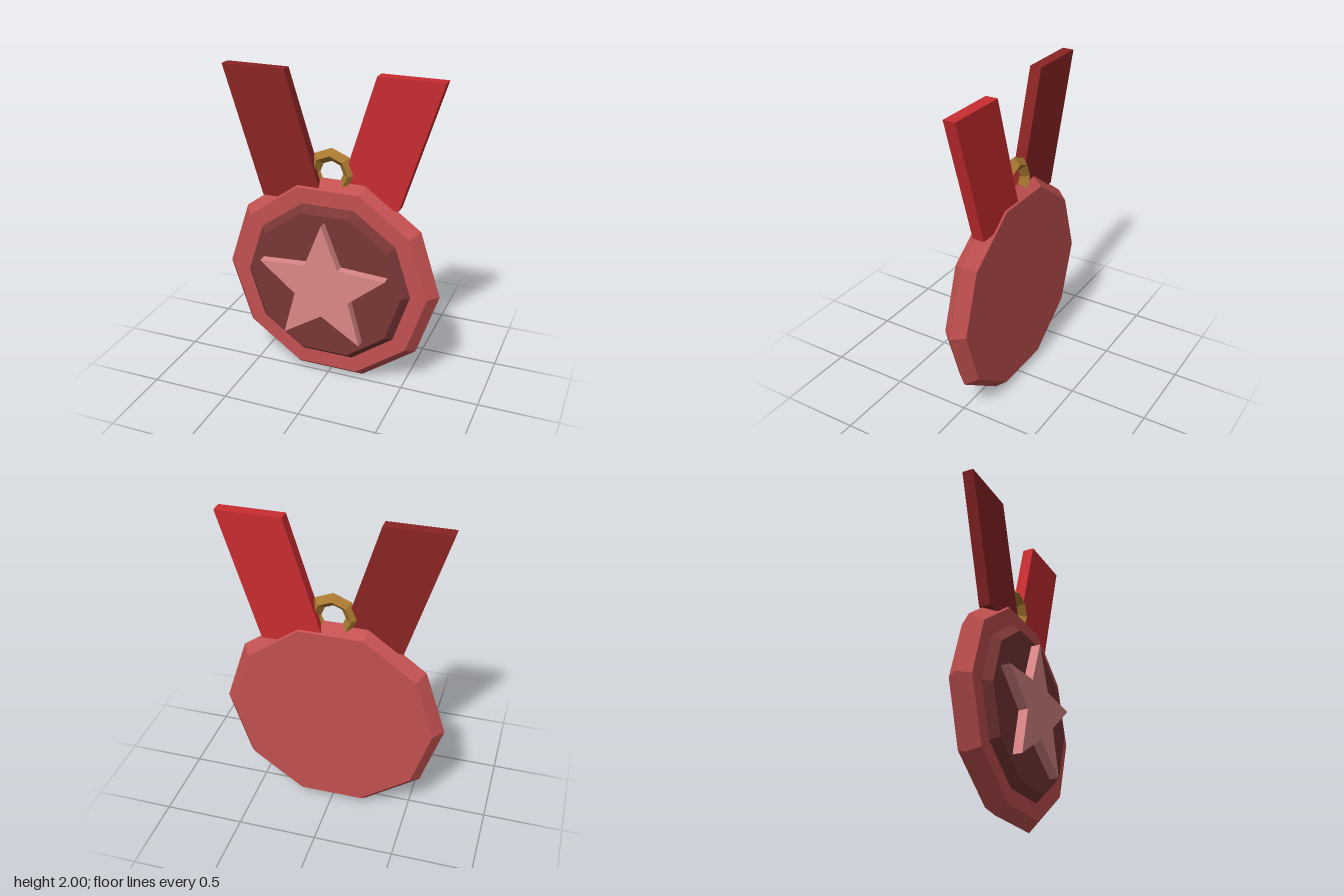
import * as THREE from 'three';

const CENTER_Y = 0.673;

function flat(name, color) {
  const m = new THREE.MeshStandardMaterial({ color, flatShading: true });
  m.name = name;
  return m;
}

function part(name, geometry, material) {
  const mesh = new THREE.Mesh(geometry, material);
  mesh.name = name;
  return mesh;
}

// Ten-sided disc facing +z, from [radius, z] pairs running back to front
function disc(profile) {
  const points = profile.map(([r, z]) => new THREE.Vector2(r, z));
  const g = new THREE.LatheGeometry(points, 10, Math.PI / 2);
  g.rotateX(Math.PI / 2);
  return g.translate(0, CENTER_Y, 0);
}

// Straight-sided plate between two z values
function plate(corners, back, front) {
  const shape = new THREE.Shape(corners.map(([x, y]) => new THREE.Vector2(x, y)));
  const g = new THREE.ExtrudeGeometry(shape, { depth: front - back, bevelEnabled: false });
  return g.translate(0, 0, back);
}

export function createModel() {
  const medalRed = flat('medal red', 0xc25050);
  const faceRed = flat('dark face red', 0x7a3636);
  const starPink = flat('star pink', 0xdc8787);
  const ribbonRed = flat('ribbon red', 0xc92c30);
  const ribbonDark = flat('dark ribbon red', 0x8a2424);
  const gold = flat('gold', 0xa87830);

  const group = new THREE.Group();
  group.name = 'medal';

  // Body with bevelled edge, and the raised centre
  group.add(part('body', disc([[0, -0.13], [0.645, -0.13], [0.705, -0.057], [0.645, 0.015], [0, 0.015]]), medalRed));
  group.add(part('raisedFace', disc([[0.54, 0.01], [0.54, 0.015], [0.495, 0.065], [0, 0.065]]), faceRed));

  // Five-pointed star
  const star = [];
  for (let i = 0; i < 10; i++) {
    const r = i % 2 ? 0.186 : 0.43;
    const a = Math.PI / 2 + (i * Math.PI) / 5;
    star.push([r * Math.cos(a), CENTER_Y + r * Math.sin(a)]);
  }
  group.add(part('star', plate(star, 0.06, 0.125), starPink));

  // Ribbon bands: the right one lies in front of the left one
  const band = (s) => [[s * 0.03, 1.2], [s * 0.43, 1.2], [s * 0.677, 2], [s * 0.277, 2]];
  group.add(part('leftRibbon', plate(band(1), -0.12, -0.045), ribbonRed));
  group.add(part('rightRibbon', plate(band(-1), -0.07, 0.003), ribbonDark));

  // Hanging ring
  const ring = new THREE.TorusGeometry(0.115, 0.041, 4, 8).translate(0, 1.384, -0.058);
  group.add(part('ring', ring, gold));

  return group;
}
